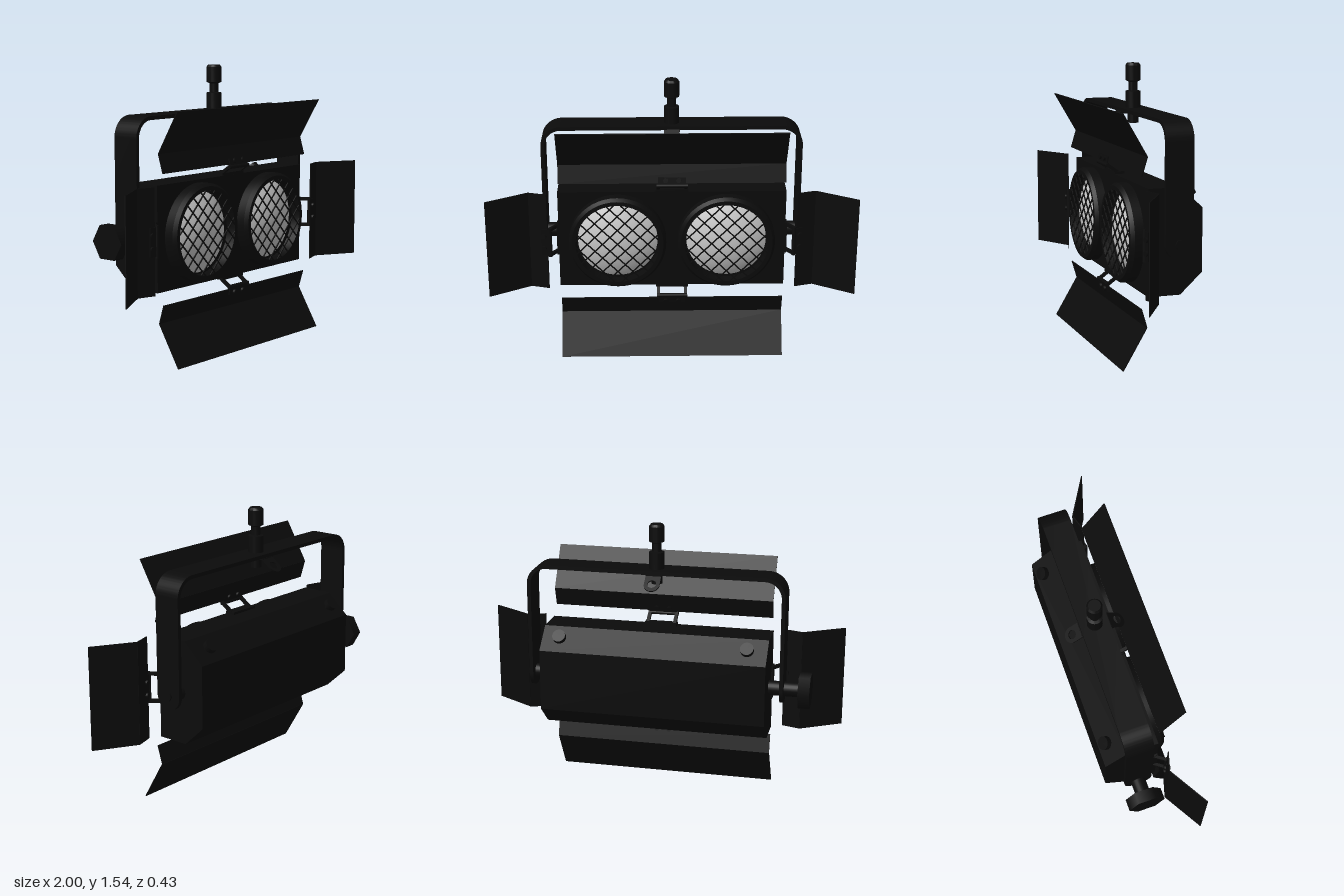
import * as THREE from 'three';
import { toCreasedNormals } from 'three/addons/utils/BufferGeometryUtils.js';

const CY = 0.668; // height of the lamp centre line
const black = new THREE.MeshStandardMaterial({ color: 0x0b0b0b });
const blackThin = new THREE.MeshStandardMaterial({ color: 0x0b0b0b, side: THREE.DoubleSide });
const grey = new THREE.MeshStandardMaterial({ color: 0xcccccc });

function add(parent, name, geometry, material = black) {
  const mesh = new THREE.Mesh(geometry, material);
  mesh.name = name;
  parent.add(mesh);
  return mesh;
}

function box(parent, name, w, h, d, x, y, z) {
  const mesh = add(parent, name, new THREE.BoxGeometry(w, h, d));
  mesh.position.set(x, y, z);
  return mesh;
}

// Cylinder running between two points
function rod(parent, name, a, b, r, sides = 24) {
  const p = new THREE.Vector3(...a), q = new THREE.Vector3(...b);
  const dir = q.clone().sub(p);
  const mesh = add(parent, name, new THREE.CylinderGeometry(r, r, dir.length(), sides));
  mesh.position.copy(p).add(q).multiplyScalar(0.5);
  mesh.quaternion.setFromUnitVectors(new THREE.Vector3(0, 1, 0), dir.normalize());
  return mesh;
}

// Bar of rectangular section between two (z, y) points, centred on x
function plate(parent, name, [z1, y1], [z2, y2], width, thick, x = 0) {
  const len = Math.hypot(z2 - z1, y2 - y1);
  const mesh = box(parent, name, width, len, thick, x, (y1 + y2) / 2, (z1 + z2) / 2);
  mesh.rotation.x = Math.atan2(z2 - z1, y2 - y1);
  return mesh;
}

function lathe(points, segments = 48) {
  return toCreasedNormals(
    new THREE.LatheGeometry(points.map(([r, y]) => new THREE.Vector2(r, y)), segments), 0.6);
}

// Housing with bevelled back edges, extruded along x
function housing(parent) {
  const s = new THREE.Shape();
  [[0.085, 0.388], [0.085, 0.948], [-0.09, 0.948], [-0.21, 0.838], [-0.21, 0.5], [-0.09, 0.388]]
    .forEach(([z, y], i) => (i ? s.lineTo(-z, y) : s.moveTo(-z, y)));
  const g = new THREE.ExtrudeGeometry(s, { depth: 1.24, bevelEnabled: false });
  g.translate(0, 0, -0.62).rotateY(Math.PI / 2);
  add(parent, 'housing', g);
}

// Lamp: rim, domed lens and diagonal wire guard
function lamp(parent, x) {
  const g = new THREE.Group();
  g.name = 'lamp';
  g.position.set(x, CY, 0.08);
  const rim = add(g, 'lampRim', lathe(
    [[0.265, 0], [0.265, 0.055], [0.25, 0.075], [0.228, 0.075], [0.224, 0.02]]), blackThin);
  rim.rotation.x = Math.PI / 2;

  const R = 0.4, half = Math.asin(0.226 / R);
  const dome = new THREE.SphereGeometry(R, 48, 12, 0, Math.PI * 2, 0, half);
  dome.translate(0, -R, 0).rotateX(Math.PI / 2);
  add(g, 'lens', dome, grey).position.z = 0.07;

  const step = 0.058;
  for (const turn of [1, -1]) {
    for (let i = -3; i <= 3; i++) {
      const len = 2 * Math.sqrt(0.228 ** 2 - (i * step) ** 2);
      const wire = add(g, 'guardWire', new THREE.BoxGeometry(len, 0.006, 0.006));
      wire.rotation.z = turn * Math.PI / 4;
      wire.position.set(-Math.sin(turn * Math.PI / 4) * i * step, Math.cos(Math.PI / 4) * i * step, 0.074);
    }
  }
  parent.add(g);
}

// Barn door built pointing up from a housing edge, then turned to its side
function barnDoor(parent, name, length, edge, turn) {
  const pivot = new THREE.Group();
  pivot.name = name;
  pivot.position.y = CY;
  pivot.rotation.z = turn;
  const g = new THREE.Group();
  g.position.y = edge;
  pivot.add(g);
  plate(g, 'doorLip', [0.118, 0.06], [0.088, 0.16], length, 0.005);
  plate(g, 'doorLeaf', [0.088, 0.16], [0.217, 0.38], length, 0.005);
  box(g, 'hingePlate', 0.18, 0.016, 0.055, 0, 0.004, 0.057);
  for (const x of [-0.075, 0.075]) plate(g, 'hingeArm', [0.062, 0.006], [0.126, 0.052], 0.018, 0.016, x);
  rod(g, 'hingePin', [-0.084, 0.047, 0.122], [0.084, 0.047, 0.122], 0.011, 12);
  plate(g, 'hingeClamp', [0.122, 0.046], [0.113, 0.092], 0.15, 0.012);
  for (const x of [-0.035, 0.035]) rod(g, 'hingeBolt', [x, 0.074, 0.1], [x, 0.082, 0.132], 0.014, 12);
  parent.add(pivot);
}

// Flat strap bent into a U over the housing
function yoke(parent) {
  const w = 0.705, t = 0.02, top = 1.298, r = 0.11;
  const s = new THREE.Shape();
  s.moveTo(-w, CY);
  s.lineTo(-w, top - r);
  s.absarc(-w + r, top - r, r, Math.PI, Math.PI / 2, true);
  s.lineTo(w - r, top);
  s.absarc(w - r, top - r, r, Math.PI / 2, 0, true);
  s.lineTo(w, CY);
  s.lineTo(w - t, CY);
  s.lineTo(w - t, top - r);
  s.absarc(w - r, top - r, r - t, 0, Math.PI / 2, false);
  s.lineTo(-w + r, top - t);
  s.absarc(-w + r, top - r, r - t, Math.PI / 2, Math.PI, false);
  s.lineTo(-w + t, CY);
  s.closePath();
  const g = new THREE.ExtrudeGeometry(s, { depth: 0.152, bevelEnabled: false, curveSegments: 12 });
  add(parent, 'yoke', toCreasedNormals(g.translate(0, 0, -0.129), 0.6));
  for (const side of [-1, 1]) {
    rod(parent, 'yokeEnd', [side * (w - t), CY, -0.053], [side * w, CY, -0.053], 0.076, 32);
    rod(parent, 'pivotSpacer', [side * 0.61, CY, -0.053], [side * 0.69, CY, -0.053], 0.04);
  }
  rod(parent, 'pivotBolt', [0.7, CY, -0.053], [0.714, CY, -0.053], 0.026, 6);
  rod(parent, 'tiltKnobStem', [-0.8, CY, -0.053], [-0.7, CY, -0.053], 0.04);
  rod(parent, 'tiltKnob', [-0.848, CY, -0.053], [-0.785, CY, -0.053], 0.1, 6);
}

// Eyelet tabs hanging from both edges of the yoke
function safetyTabs(parent) {
  box(parent, 'safetyStrap', 0.085, 0.008, 0.16, 0, 1.274, -0.053);
  for (const side of [-1, 1]) {
    const s = new THREE.Shape();
    s.moveTo(-0.042, 0);
    s.lineTo(-0.042, -0.06);
    s.absarc(0, -0.06, 0.042, Math.PI, Math.PI * 2, false);
    s.lineTo(0.042, 0);
    s.closePath();
    const hole = new THREE.Path();
    hole.absarc(0, -0.056, 0.024, 0, Math.PI * 2, true);
    s.holes.push(hole);
    const g = new THREE.ExtrudeGeometry(s, { depth: 0.007, bevelEnabled: false, curveSegments: 16 });
    const tab = add(parent, 'safetyTab', g);
    tab.position.set(0, 1.277, -0.053 + side * 0.077);
    tab.rotation.x = -side * 0.92;
  }
}

// Turned mounting stud on top of the yoke
function spigot(parent) {
  add(parent, 'spigot', lathe([[0, 1.215], [0.03, 1.215], [0.03, 1.275], [0.041, 1.275], [0.041, 1.388],
    [0.025, 1.392], [0.025, 1.438], [0.041, 1.446], [0.041, 1.528], [0.032, 1.54], [0, 1.54]], 32))
    .position.z = -0.05;
}

export function createModel() {
  const model = new THREE.Group();
  model.name = 'twinStageLight';
  housing(model);
  for (const side of [-1, 1]) {
    lamp(model, side * 0.297);
    // Thumbscrew on the upper back bevel
    rod(model, 'thumbscrewStem', [side * 0.515, 0.88, -0.14], [side * 0.515, 0.918, -0.178], 0.014);
    rod(model, 'thumbscrewHead', [side * 0.515, 0.908, -0.168], [side * 0.515, 0.926, -0.188], 0.036);
  }
  barnDoor(model, 'topDoor', 1.226, 0.282, 0);
  barnDoor(model, 'bottomDoor', 1.226, 0.282, Math.PI);
  barnDoor(model, 'leftDoor', 0.56, 0.618, -Math.PI / 2);
  barnDoor(model, 'rightDoor', 0.56, 0.618, Math.PI / 2);
  yoke(model);
  safetyTabs(model);
  spigot(model);
  return model;
}
